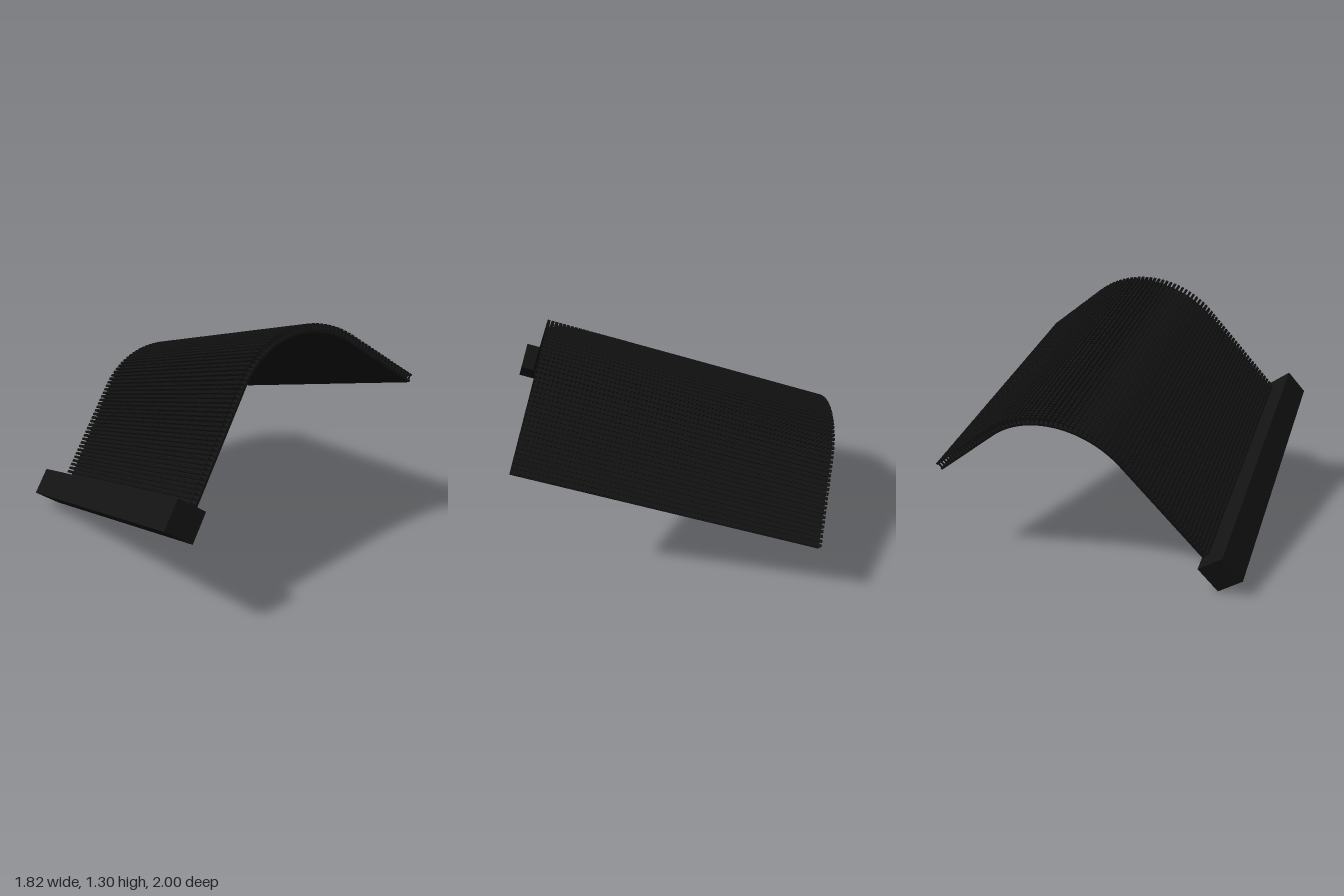
import * as THREE from 'three';
import { mergeGeometries } from 'three/addons/utils/BufferGeometryUtils.js';

// Measures in the frame of the part: x along the bar, y up the sheet, z out of its front
const X0 = -0.585, X1 = 0.95;                 // ends of the sheet
const FOOT = -0.1, BEND_Y = 0.545, BEND_Z = 0.2, TAIL = -0.236;
const R_IN = 0.455, R_OUT = 0.467;            // backing radii at the bend
const ROWS = 75, COLS = 74, PIN = 0.033;

// Point and outward angle on the backing's outer face at distance s from the foot
function along(s) {
  const leg = BEND_Y - FOOT, arc = R_OUT * Math.PI / 2;
  if (s < leg) return { y: FOOT + s, z: BEND_Z + R_OUT, a: 0 };
  if (s < leg + arc) {
    const a = (s - leg) / R_OUT;
    return { y: BEND_Y + R_OUT * Math.sin(a), z: BEND_Z + R_OUT * Math.cos(a), a };
  }
  return { y: BEND_Y + R_OUT, z: BEND_Z - (s - leg - arc), a: Math.PI / 2 };
}

// Bent backing strip: two straight legs joined by a quarter round
function backingGeometry() {
  const s = new THREE.Shape();
  s.moveTo(-BEND_Z - R_OUT, FOOT);
  s.lineTo(-BEND_Z - R_OUT, BEND_Y);
  s.absarc(-BEND_Z, BEND_Y, R_OUT, Math.PI, Math.PI / 2, true);
  s.lineTo(-TAIL, BEND_Y + R_OUT);
  s.lineTo(-TAIL, BEND_Y + R_IN);
  s.lineTo(-BEND_Z, BEND_Y + R_IN);
  s.absarc(-BEND_Z, BEND_Y, R_IN, Math.PI / 2, Math.PI, false);
  s.lineTo(-BEND_Z - R_IN, FOOT);
  const g = new THREE.ExtrudeGeometry(s, { depth: X1 - X0, bevelEnabled: false, curveSegments: 32 });
  return g.rotateY(Math.PI / 2).translate(X0, 0, 0);
}

// One row of small headed pins, standing on z = 0
function pinRow() {
  const stem = new THREE.BoxGeometry(0.007, 0.007, PIN - 0.008);
  stem.setIndex([...stem.index.array].slice(0, 24)); // the ends are covered
  stem.translate(0, 0, (PIN - 0.008) / 2);
  const head = new THREE.BoxGeometry(0.013, 0.014, 0.01).translate(0, 0, PIN - 0.005);
  const pin = mergeGeometries([stem, head]);
  const pitch = (X1 - X0 - 0.013) / (COLS - 1);
  return mergeGeometries(Array.from({ length: COLS }, (_, i) =>
    pin.clone().translate(X0 + 0.0065 + i * pitch, 0, 0)));
}

export function createModel() {
  const model = new THREE.Group();
  const tilted = new THREE.Group();
  tilted.name = 'tiltedStrip';
  const black = new THREE.MeshStandardMaterial({ color: 0x131313 });
  const add = (name, geometry) => {
    const mesh = new THREE.Mesh(geometry, black);
    mesh.name = name;
    tilted.add(mesh);
    return mesh;
  };

  add('backing', backingGeometry());

  // Rows of pins follow the outer face from the bar to the free end
  const row = pinRow();
  const first = 0.045;
  const last = BEND_Y - FOOT + R_OUT * Math.PI / 2 + BEND_Z - TAIL - 0.007;
  const rows = [];
  for (let i = 0; i < ROWS; i++) {
    const p = along(first + (last - first) * i / (ROWS - 1));
    rows.push(row.clone().rotateX(-p.a).translate(0, p.y, p.z));
  }
  add('pins', mergeGeometries(rows));

  // Square bar gripping the foot of the strip
  add('bar', new THREE.BoxGeometry(1.68, 0.155, 0.155)).position.set(0.183, -0.145, 0.725);

  // Tilt the whole strip
  const u = new THREE.Vector3(0.912, 0.304, 0.274).normalize();
  const n = u.clone().cross(new THREE.Vector3(-0.06, 0.77, -0.64)).normalize();
  const v = n.clone().cross(u);
  tilted.quaternion.setFromRotationMatrix(new THREE.Matrix4().makeBasis(u, v, n));
  model.add(tilted);

  // Centre it and stand it on the floor
  model.updateMatrixWorld(true);
  const box = new THREE.Box3().setFromObject(model, true);
  const c = box.getCenter(new THREE.Vector3());
  tilted.position.set(-c.x, -box.min.y, -c.z);
  return model;
}
